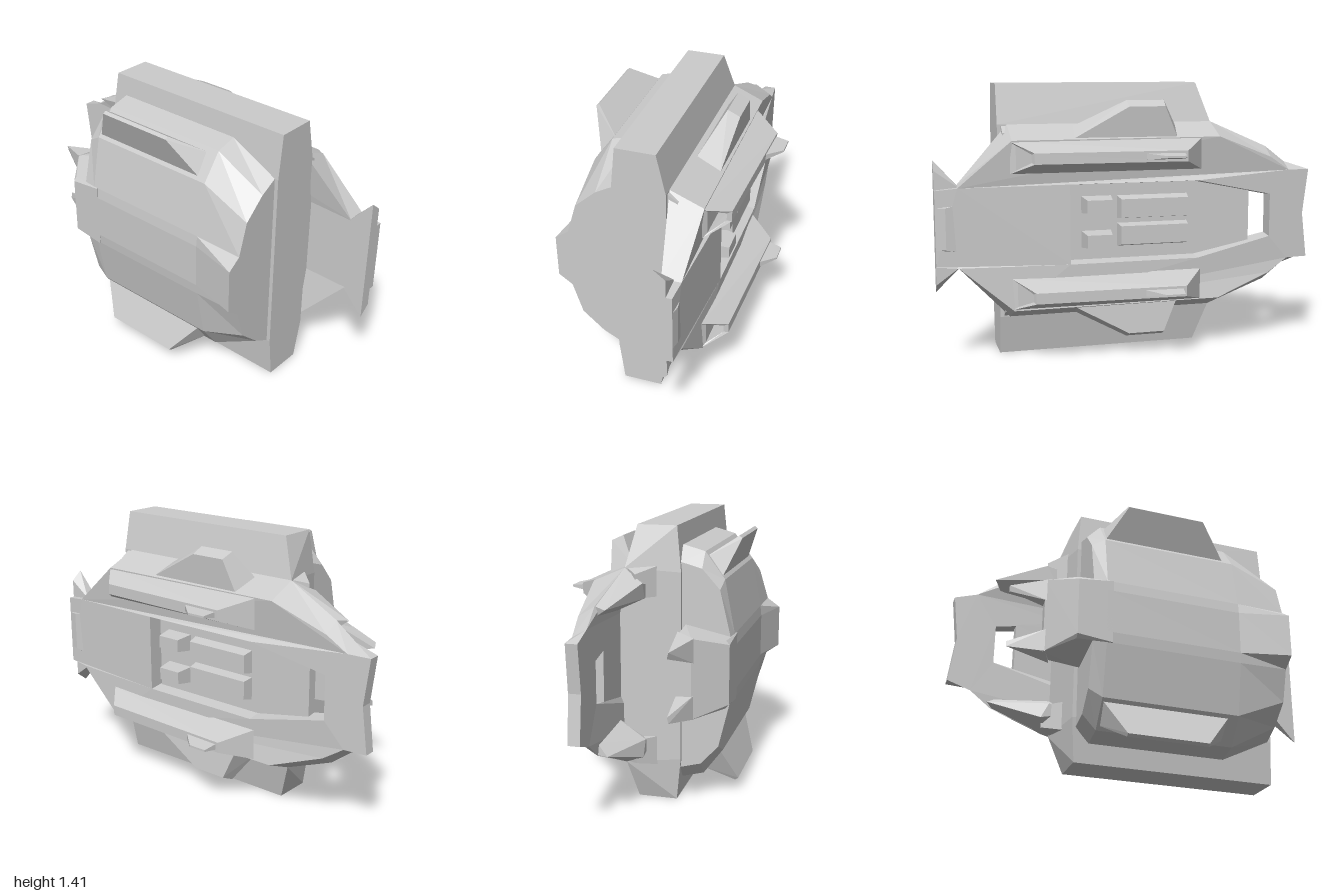
import * as THREE from 'three';
import { ConvexGeometry } from 'three/addons/geometries/ConvexGeometry.js';

const MID = 0.705; // height of the mirror plane
const mat = new THREE.MeshStandardMaterial({ color: 0xcccccc, flatShading: true, side: THREE.DoubleSide });

export function createModel() {
  const model = new THREE.Group();
  const body = new THREE.Group();
  body.name = 'body';
  body.position.y = MID;
  model.add(body);

  const add = (name, geo) => {
    const m = new THREE.Mesh(geo, mat);
    m.name = name;
    body.add(m);
    return m;
  };
  const vecs = (pts, s = 1) => pts.map(([x, v, z]) => new THREE.Vector3(x, v * s, z));
  // convex block from corner points [x, distance from mid plane, z]
  const block = (name, pts) => add(name, new ConvexGeometry(vecs(pts)));
  const pair = (name, pts) => [1, -1].forEach(s =>
    add((s > 0 ? 'upper ' : 'lower ') + name, new ConvexGeometry(vecs(pts, s))));
  // block that straddles the mid plane
  const mirrored = (name, pts) => block(name, [...pts, ...pts.map(([x, v, z]) => [x, -v, z])]);

  // skin through rings of equal point count, with end caps
  const loft = (name, rings) => {
    const n = rings[0].length, pos = [];
    const tri = (...p) => p.forEach(q => pos.push(...q));
    for (let i = 0; i + 1 < rings.length; i++) {
      for (let j = 0; j < n; j++) {
        const k = (j + 1) % n, a = rings[i], b = rings[i + 1];
        tri(a[j], b[j], b[k]);
        tri(a[j], b[k], a[k]);
      }
    }
    [rings[0], rings[rings.length - 1]].forEach((r, end) => {
      const c = [0, 1, 2].map(d => r.reduce((sum, p) => sum + p[d], 0) / n);
      for (let j = 0; j < n; j++) {
        const k = (j + 1) % n;
        end ? tri(c, r[k], r[j]) : tri(c, r[j], r[k]);
      }
    });
    const g = new THREE.BufferGeometry();
    g.setAttribute('position', new THREE.Float32BufferAttribute(pos, 3));
    g.computeVertexNormals();
    return add(name, g);
  };

  // belly hull: half sections mirrored into full rings, front to back
  const front = [[-0.48, 0.115], [-0.41, 0.165], [-0.36, 0.33], [-0.25, 0.43], [-0.16, 0.48], [0.1, 0.5], [0.16, 0.46]];
  const middle = [[-0.418, 0.115], [-0.412, 0.17], [-0.36, 0.44], [-0.26, 0.575], [-0.15, 0.605], [0.1, 0.5], [0.16, 0.46]];
  const rear = [[-0.415, 0.115], [-0.405, 0.17], [-0.35, 0.4], [-0.26, 0.5], [-0.15, 0.53], [0.1, 0.48], [0.16, 0.44]];
  const ring = (half, z) => [
    ...half.map(([x, v]) => [x, v, z]),
    ...half.slice().reverse().map(([x, v]) => [x, -v, z]),
  ];
  loft('belly hull', [ring(front, 0.65), ring(middle, 0.39), ring(middle, -0.33), ring(rear, -0.4)]);

  // tall cross block forming both side wings
  mirrored('wing block', [
    [-0.135, 0.705, 0.67], [0.065, 0.705, 0.67], [-0.16, 0.48, 0.67], [0.11, 0.5, 0.67],
    [-0.135, 0.705, -0.4], [0.065, 0.705, -0.4], [-0.16, 0.48, -0.42], [0.11, 0.5, -0.47],
  ]);

  // deck plate with an opening, narrowed and sloped at its outer face
  const shapeFrom = (half, Kind) => new Kind([
    ...half.map(([z, v]) => new THREE.Vector2(-z, v)),
    ...half.slice().reverse().filter(p => p[1] > 0).map(([z, v]) => new THREE.Vector2(-z, -v)),
  ]);
  const deckShape = shapeFrom([[1, 0.19], [0.89, 0.2], [0.62, 0.5], [-0.47, 0.5], [-0.77, 0.365],
    [-0.88, 0.28], [-1, 0.24], [-0.97, 0]], THREE.Shape);
  const opening = [[0.33, 0.205], [-0.35, 0.205], [-0.77, 0.115]];
  deckShape.holes.push(shapeFrom(opening, THREE.Path));
  const deckTop = z => z < -0.36 ? 0.28 + (z + 0.36) * 0.094 : z > 0.6 ? 0.28 - (z - 0.6) * 0.075 : 0.28;
  const deckGeo = new THREE.ExtrudeGeometry(deckShape, { depth: 1, bevelEnabled: false });
  deckGeo.rotateY(Math.PI / 2);
  const p = deckGeo.attributes.position;
  for (let i = 0; i < p.count; i++) {
    const v = p.getY(i), z = p.getZ(i), a = Math.abs(v);
    if (p.getX(i) > 0.5) {
      p.setX(i, deckTop(z));
      if (a > 0.25) p.setY(i, v * 0.86);
    } else {
      p.setX(i, a > 0.49 ? 0.11 : 0.16);
      if (a > 0.1 && a < 0.206 && z < 0.5) p.setY(i, v * 0.92);
    }
  }
  deckGeo.computeVertexNormals();
  add('deck', deckGeo);

  // sunken floor, leaving a through slot at the tail
  mirrored('deck floor', [0.16, 0.21].flatMap(x =>
    [[x, 0.2, 0.32], [x, 0.2, -0.35], [x, 0.135, -0.66]]));

  // hatches on the deck floor
  pair('small hatch', [
    ...[[0.09, 0.1], [0.09, 0.26], [0.135, 0.1], [0.135, 0.26]].map(([v, z]) => [0.2, v < 0.1 ? 0.045 : v, z]),
    [0.3, 0.057, 0.115], [0.3, 0.057, 0.245], [0.3, 0.122, 0.115], [0.3, 0.122, 0.245],
  ]);
  pair('long hatch', [
    [0.2, 0.01, 0.07], [0.2, 0.135, 0.07], [0.2, 0.01, -0.31], [0.2, 0.135, -0.31],
    [0.265, 0.022, 0.06], [0.265, 0.118, 0.06], [0.265, 0.022, -0.3], [0.265, 0.118, -0.3],
  ]);

  // deck rails with hollow front ends, and a thin blade on each
  [1, -1].forEach(s => {
    const section = (z, slope, inset, top) => {
      const r = [[0.27 + inset, 0.265 + inset], [0.27 + inset, 0.425 - inset],
        [top - inset, 0.375 - inset * 0.4], [top - inset, 0.32 + inset * 0.4]]
        .map(([x, v]) => [x, v * s, z - slope * (x - 0.28)]);
      return s > 0 ? r : r.reverse();
    };
    loft((s > 0 ? 'upper' : 'lower') + ' rail', [
      section(0.44, 0.2, 0.02, 0.38), section(0.61, 0.9, 0.018, 0.38),
      section(0.62, 0.9, 0, 0.385), section(-0.36, -0.85, 0, 0.41),
    ]);
  });
  pair('rail blade', [
    [0.39, 0.33, -0.02], [0.39, 0.365, -0.02], [0.39, 0.33, -0.235], [0.39, 0.365, -0.235],
    [0.478, 0.345, -0.12], [0.478, 0.355, -0.12], [0.478, 0.345, -0.22], [0.478, 0.355, -0.22],
  ]);

  // raised fins on the deck's sloping sides
  pair('deck fin', [
    [0.13, 0.48, 0.3], [0.26, 0.43, 0.31], [0.13, 0.48, -0.27], [0.26, 0.43, -0.24],
    [0.21, 0.62, 0.02], [0.275, 0.59, 0.02], [0.21, 0.62, -0.18], [0.275, 0.59, -0.17],
  ]);

  // slanting fins on the belly
  pair('belly fin', [
    [-0.25, 0.54, 0.35], [-0.34, 0.44, 0.35], [-0.25, 0.54, -0.33], [-0.34, 0.44, -0.33],
    [-0.42, 0.63, 0.2], [-0.405, 0.642, 0.2], [-0.42, 0.63, -0.22], [-0.405, 0.642, -0.22],
  ]);

  // tail wedge behind the belly
  mirrored('tail wedge', [
    [-0.418, 0.17, -0.3], [-0.418, 0.15, -0.48], [-0.4, 0.17, -0.48], [-0.26, 0.2, -0.61],
    [-0.18, 0.22, -0.4], [-0.18, 0.2, -0.6],
  ]);
  pair('tail spike', [
    [-0.27, 0.2, -0.6], [-0.27, 0.08, -0.6], [-0.18, 0.22, -0.56], [-0.18, 0.08, -0.56],
    [-0.195, 0.17, -0.78], [-0.188, 0.14, -0.78],
  ]);

  // struts that join the hull to the overhanging deck
  pair('rear strut', [
    [0.1, 0.355, -0.8], [0.165, 0.365, -0.76], [0.165, 0.31, -0.75], [0.0, 0.44, -0.54],
    [0.0, 0.36, -0.5], [0.11, 0.5, -0.47], [0.16, 0.28, -0.45], [0.0, 0.4, -0.38],
  ]);
  pair('rear pod', [
    [-0.1, 0.53, -0.38], [-0.1, 0.36, -0.38], [-0.02, 0.5, -0.45], [-0.02, 0.36, -0.45],
    [0.04, 0.48, -0.53], [0.04, 0.36, -0.53], [0.1, 0.5, -0.46], [0.1, 0.36, -0.38],
  ]);

  // nose prongs and nose block
  pair('nose prong', [0.16, 0.22].flatMap(x =>
    [[x, 0.335 + (0.16 - x) * 0.8, 1], [x, 0.18, 1], [x, 0.2, 0.88]]));
  mirrored('nose block', [
    [0.2, 0.12, 1], [0.26, 0.105, 0.95], [0.25, 0.105, 1], [0.2, 0.12, 0.89], [0.255, 0.115, 0.9],
  ]);

  return model;
}
